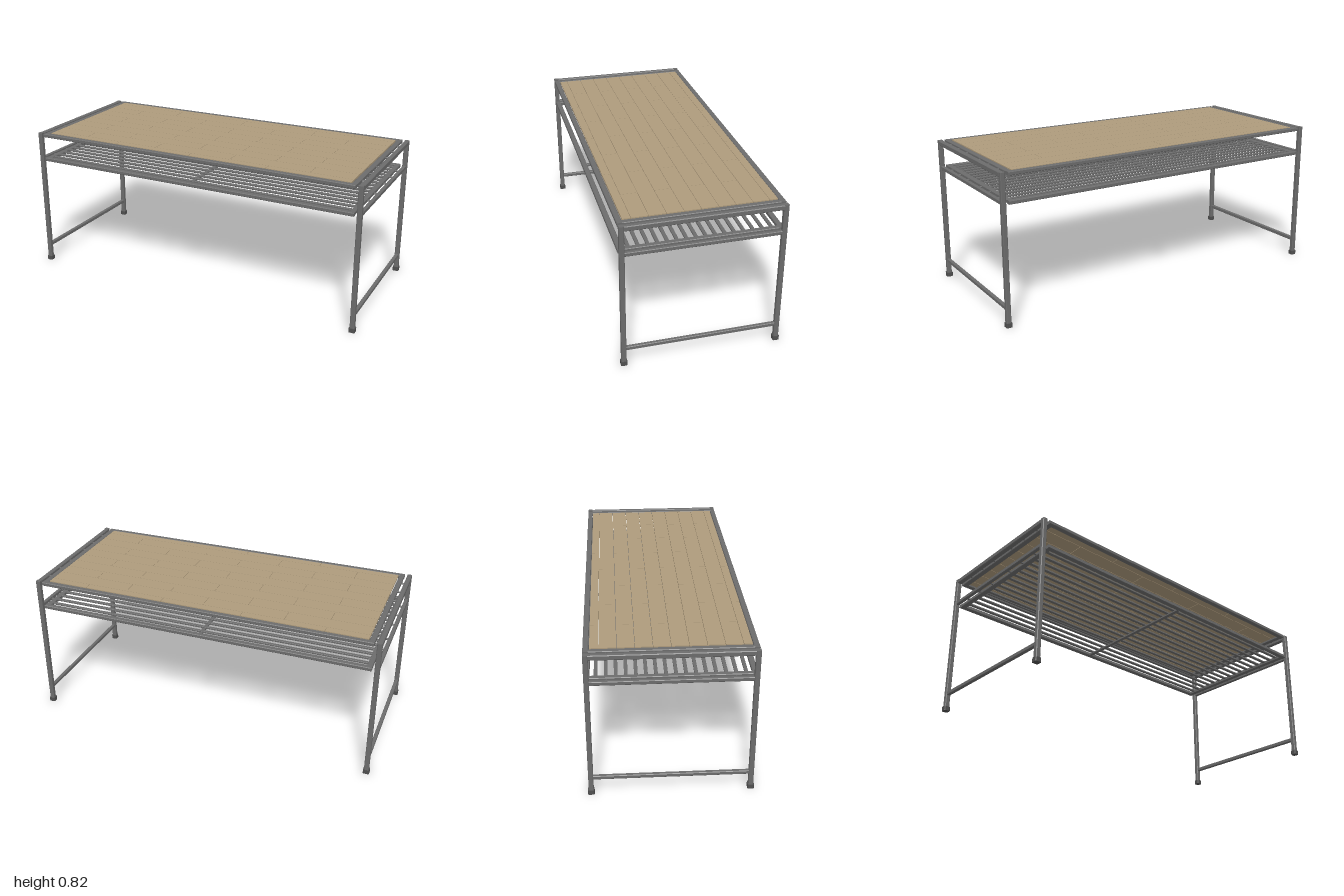
import * as THREE from 'three';

const steel = new THREE.MeshStandardMaterial({ color: 0x6c6c6c });
steel.name = 'grey steel';
const rubber = new THREE.MeshStandardMaterial({ color: 0x505050 });
rubber.name = 'dark rubber';
const wood = new THREE.MeshStandardMaterial({ color: 0xae9b7c });
wood.name = 'light wood';

// Bar of length along an axis, with chamfered long edges; centred on its position
function bar(name, axis, length, w, h, pos, material = steel) {
  const a = w / 2, b = h / 2, c = Math.min(w, h) * 0.14;
  const shape = new THREE.Shape([
    [a - c, -b], [a, -b + c], [a, b - c], [a - c, b],
    [-a + c, b], [-a, b - c], [-a, -b + c], [-a + c, -b],
  ].map(([x, y]) => new THREE.Vector2(x, y)));
  const geo = new THREE.ExtrudeGeometry(shape, { depth: length, bevelEnabled: false });
  geo.translate(0, 0, -length / 2);
  if (axis === 'x') geo.rotateY(Math.PI / 2);
  if (axis === 'y') geo.rotateX(-Math.PI / 2);
  const mesh = new THREE.Mesh(geo, material);
  mesh.name = name;
  mesh.position.set(...pos);
  return mesh;
}

const LEG_X = 0.983, LEG_Z = 0.412, TOP = 0.819;

// Side frame: two legs with feet, joined by three rails
function endFrame(s) {
  const g = new THREE.Group();
  g.name = s > 0 ? 'leftEndFrame' : 'rightEndFrame';
  const x = s * LEG_X;
  for (const z of [-LEG_Z, LEG_Z]) {
    g.add(bar('leg', 'y', TOP - 0.01, 0.026, 0.026, [x, (TOP + 0.01) / 2, z]));
    g.add(bar('foot', 'y', 0.024, 0.034, 0.034, [x, 0.012, z], rubber));
  }
  g.add(bar('topRail', 'z', 0.8, 0.026, 0.027, [x, TOP - 0.0135, 0]));
  g.add(bar('shelfRail', 'z', 0.8, 0.02, 0.021, [x, 0.6615, 0]));
  g.add(bar('bottomRail', 'z', 0.8, 0.02, 0.021, [x, 0.1005, 0]));
  return g;
}

// Rectangular frame with short spacer pins reaching to the end frames
function flatFrame(name, y, h) {
  const g = new THREE.Group();
  g.name = name;
  for (const s of [-1, 1]) {
    g.add(bar('longRail', 'x', 1.91, 0.028, h, [0, y, s * 0.411]));
    g.add(bar('shortRail', 'z', 0.8, 0.028, h, [s * 0.941, y, 0]));
    for (const z of [-0.315, -0.2, -0.085, 0.085, 0.2, 0.315]) {
      const pin = new THREE.Mesh(new THREE.CylinderGeometry(0.005, 0.005, 0.026, 10), steel);
      pin.name = 'spacerPin';
      pin.rotation.z = Math.PI / 2;
      pin.position.set(s * 0.964, y, z);
      g.add(pin);
    }
  }
  return g;
}

// Staggered planks, half-width rows at front and back
function planks() {
  const g = new THREE.Group();
  g.name = 'planks';
  const X = 0.923, Z = 0.394, pitch = 0.0875, len = 0.46, gap = 0.002;
  const edges = [-Z];
  for (let i = -4; i <= 4; i++) edges.push(i * pitch);
  edges.push(Z);
  for (let r = 0; r < edges.length - 1; r++) {
    const joints = [-X];
    for (let x = -X + (r % 2 ? len : len / 2); x < X - 0.05; x += len) joints.push(x);
    joints.push(X);
    const z0 = edges[r], z1 = edges[r + 1];
    for (let i = 0; i < joints.length - 1; i++) {
      const x0 = joints[i], x1 = joints[i + 1];
      const m = new THREE.Mesh(new THREE.BoxGeometry(x1 - x0 - gap, 0.012, z1 - z0 - gap), wood);
      m.name = 'plank';
      m.position.set((x0 + x1) / 2, 0.8135, (z0 + z1) / 2);
      g.add(m);
    }
  }
  return g;
}

export function createModel() {
  const model = new THREE.Group();
  model.name = 'table';
  model.add(endFrame(-1), endFrame(1));
  model.add(flatFrame('topFrame', 0.8085, 0.02), planks());

  // Slatted shelf with a central cross bar underneath
  const shelf = flatFrame('shelf', 0.6615, 0.02);
  for (let i = 0; i < 16; i++) {
    shelf.add(bar('slat', 'x', 1.86, 0.018, 0.01, [0, 0.6645, (i - 7.5) * 0.049]));
  }
  shelf.add(bar('crossBar', 'z', 0.8, 0.02, 0.012, [0, 0.657, 0]));
  model.add(shelf);
  return model;
}
